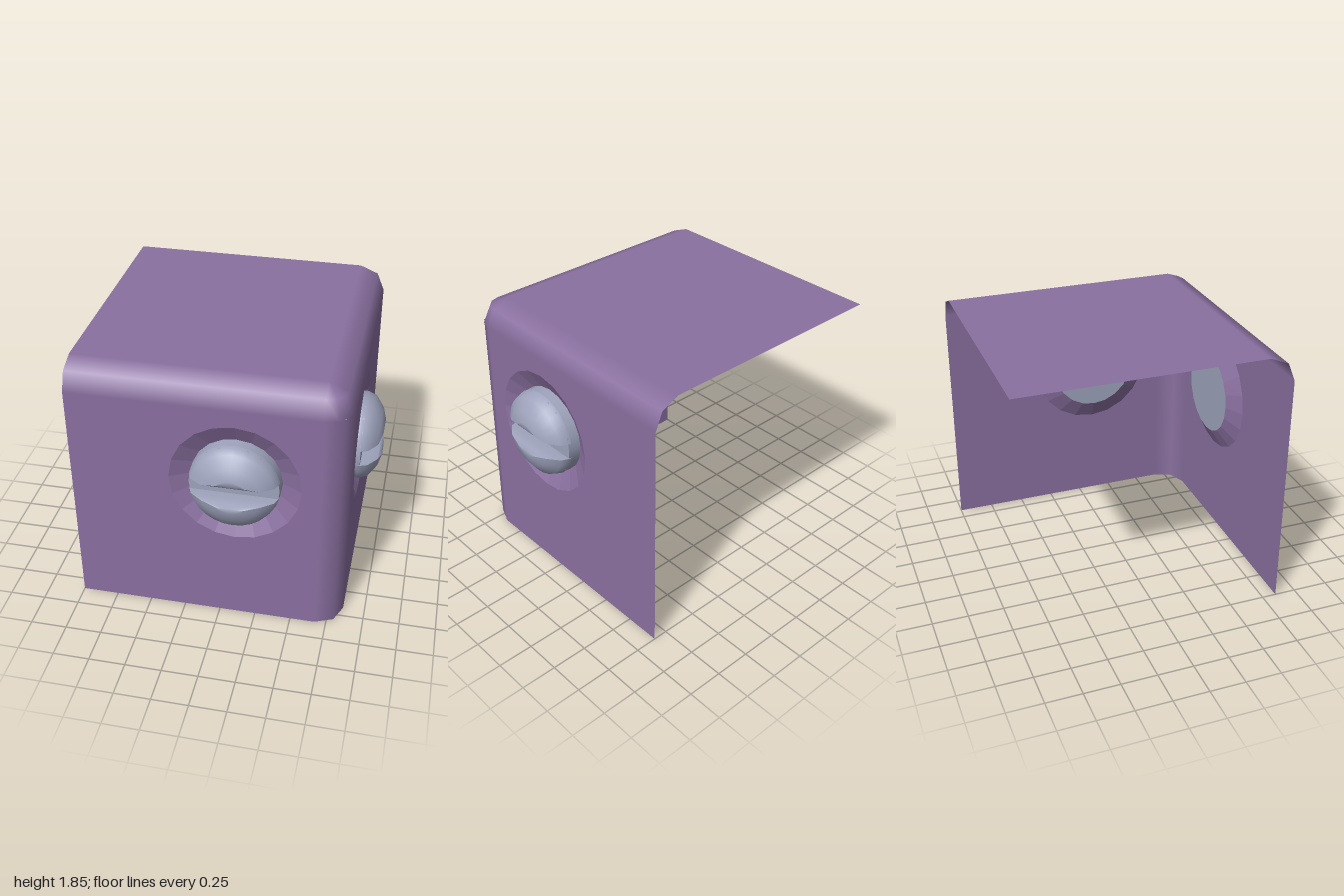
import * as THREE from 'three';

const purple = new THREE.MeshStandardMaterial({ color: 0x8a70a0, side: THREE.DoubleSide });
purple.name = 'purple shell';
const steel = new THREE.MeshStandardMaterial({ color: 0x9ea3bc, side: THREE.DoubleSide });
steel.name = 'blue grey steel';

const FACE = 0.85, R = 0.18, INNER = FACE - R, LEN = INNER + 1;
const HOLE = 0.44, HEAD = 0.305, DEPTH = 0.07, SIDES = 20;
const CX = 0.11, CY = 1.11;

function add(parent, name, geometry, material, x = 0, y = 0, z = 0) {
  const mesh = new THREE.Mesh(geometry, material);
  mesh.name = name;
  mesh.position.set(x, y, z);
  parent.add(mesh);
  return mesh;
}

// Wall from x0 to x1 with a round hole at x = hx
function wallGeometry(x0, x1, hx) {
  const s = new THREE.Shape();
  s.moveTo(x0, 0).lineTo(x1, 0).lineTo(x1, LEN).lineTo(x0, LEN).closePath();
  const hole = new THREE.Path();
  hole.absarc(hx, CY, HOLE, 0, Math.PI * 2, true);
  s.holes.push(hole);
  return new THREE.ShapeGeometry(s, SIDES / 2);
}

// Half of the domed head: arcs up the dome, then chords down the slot wall
function halfHeadGeometry() {
  // radius, height, distance from slot centre
  const rings = [
    [0.304, 0.0, 0.058], [0.3, 0.02, 0.058], [0.28, 0.07, 0.058],
    [0.2, 0.128, 0.062], [0.125, 0.15, 0.086],
  ];
  const n = 12, pos = [], index = [];
  const row = ([r, h, s], chord) => {
    const a = Math.asin(s / r);
    for (let j = 0; j <= n; j++) {
      const t = a + (Math.PI - 2 * a) * j / n;
      pos.push(r * Math.cos(t), chord ? s : r * Math.sin(t), h);
    }
  };
  rings.forEach(ring => row(ring, false));
  [...rings].reverse().forEach(ring => row(ring, true));
  for (let i = 0; i < rings.length * 2 - 1; i++) {
    for (let j = 0; j < n; j++) {
      const a = i * (n + 1) + j, b = a + n + 1;
      index.push(a, a + 1, b, a + 1, b + 1, b);
    }
  }
  const g = new THREE.BufferGeometry();
  g.setAttribute('position', new THREE.Float32BufferAttribute(pos, 3));
  g.setIndex(index);
  g.computeVertexNormals();
  return g;
}

// Countersink and slotted screw, facing +z
function screw() {
  const g = new THREE.Group();
  let sink = new THREE.CylinderGeometry(HOLE, HEAD, DEPTH, SIDES, 1, true).rotateX(Math.PI / 2);
  sink = sink.toNonIndexed();
  sink.computeVertexNormals();
  add(g, 'countersink', sink, purple, 0, 0, -DEPTH / 2);
  const body = new THREE.CylinderGeometry(0.3, HEAD, DEPTH + 0.02, SIDES).rotateX(Math.PI / 2);
  add(g, 'screwBody', body, steel, 0, 0, (0.02 - DEPTH) / 2);
  const half = halfHeadGeometry();
  add(g, 'upperScrewHead', half, steel);
  add(g, 'lowerScrewHead', half, steel).rotation.z = Math.PI;
  return g;
}

export function createModel() {
  const model = new THREE.Group();
  model.name = 'roundedCornerWithScrews';

  // Flat walls and top
  add(model, 'frontWall', wallGeometry(-1, INNER, CX), purple, 0, 0, FACE);
  add(model, 'sideWall', wallGeometry(-INNER, 1, -CX), purple, FACE).rotation.y = Math.PI / 2;
  const mid = (INNER - 1) / 2;
  add(model, 'top', new THREE.PlaneGeometry(LEN, LEN).rotateX(-Math.PI / 2), purple, mid, LEN + R, mid);

  // Rounded edges and the corner where they meet
  const edge = () => new THREE.CylinderGeometry(R, R, LEN, 2, 1, true, 0, Math.PI / 2);
  add(model, 'uprightEdge', edge(), purple, INNER, LEN / 2, INNER);
  add(model, 'topFrontEdge', edge().rotateZ(Math.PI / 2), purple, mid, LEN, INNER);
  add(model, 'topSideEdge', edge().rotateX(-Math.PI / 2), purple, INNER, LEN, mid);
  const corner = new THREE.SphereGeometry(R, 2, 2, Math.PI / 2, Math.PI / 2, 0, Math.PI / 2);
  add(model, 'roundedCorner', corner, purple, INNER, LEN, INNER);

  // One screw in each wall
  const front = screw();
  front.name = 'frontScrew';
  front.position.set(CX, CY, FACE);
  const side = screw();
  side.name = 'sideScrew';
  side.position.set(FACE, CY, CX);
  side.rotation.y = Math.PI / 2;
  model.add(front, side);
  return model;
}
